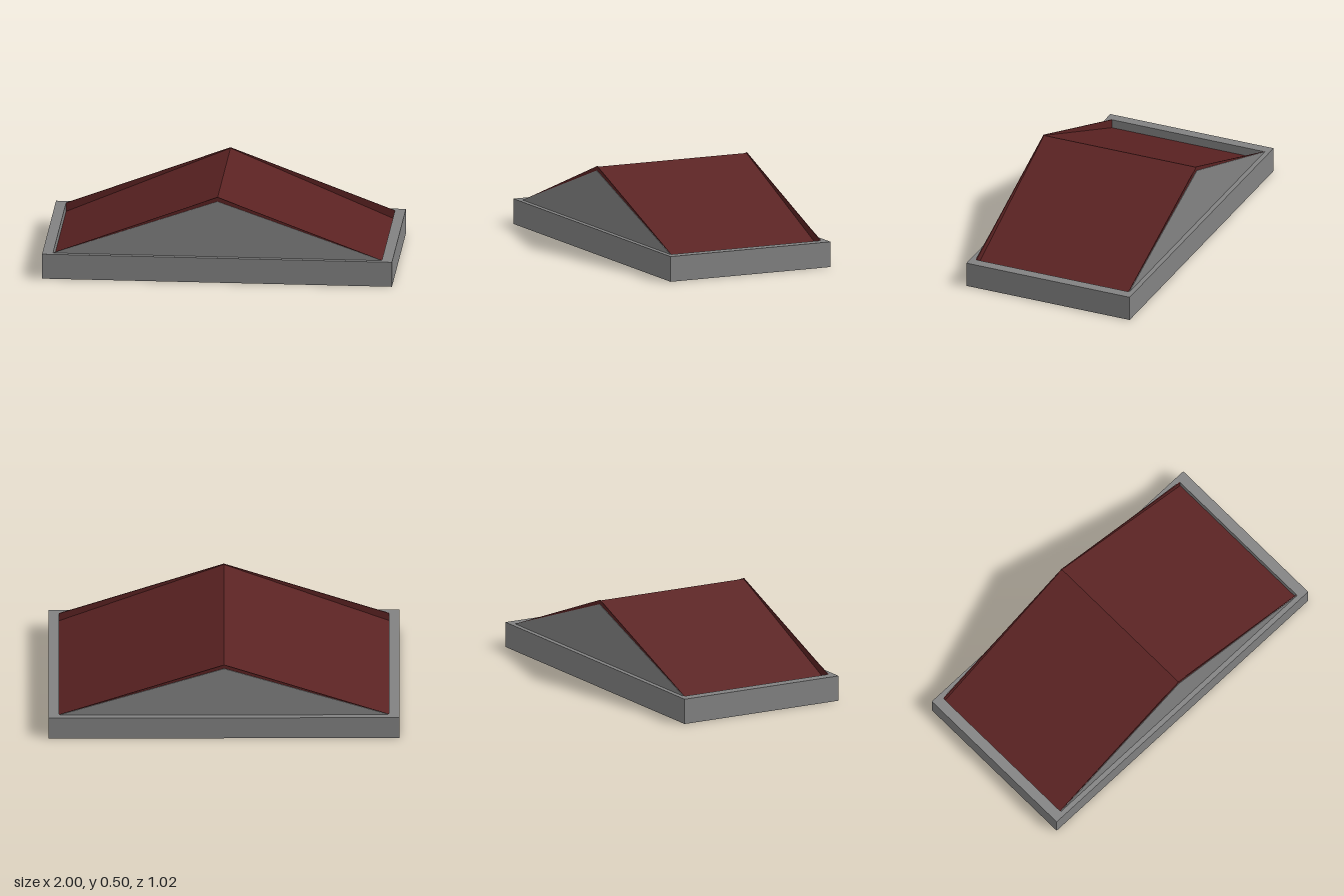
import * as THREE from 'three';

const stone = new THREE.MeshStandardMaterial({ color: 0x828282 });
stone.name = 'stone grey';
const tile = new THREE.MeshStandardMaterial({ color: 0x5a2222 });
tile.name = 'roof red';

const RIM = 0.146, FLOOR = 0.08, INNER_X = 0.94, INNER_Z = 0.482;

function add(group, name, geometry, material) {
  const mesh = new THREE.Mesh(geometry, material);
  mesh.name = name;
  group.add(mesh);
  return mesh;
}

// Gabled prism: a triangle on a low base, extruded along z and centred
function gable(halfWidth, base, eave, ridge, depth) {
  const s = new THREE.Shape();
  s.moveTo(-halfWidth, base);
  s.lineTo(halfWidth, base);
  s.lineTo(halfWidth, eave);
  s.lineTo(0, ridge);
  s.lineTo(-halfWidth, eave);
  s.closePath();
  const g = new THREE.ExtrudeGeometry(s, { depth, bevelEnabled: false });
  return g.translate(0, 0, -depth / 2);
}

export function createModel() {
  const model = new THREE.Group();
  model.name = 'gabledRoof';

  // Tray: rectangular rim with a recessed floor
  const outline = new THREE.Shape();
  outline.moveTo(-1, -0.51).lineTo(1, -0.51).lineTo(1, 0.51).lineTo(-1, 0.51).closePath();
  const hole = new THREE.Path();
  hole.moveTo(-INNER_X, -INNER_Z).lineTo(-INNER_X, INNER_Z).lineTo(INNER_X, INNER_Z).lineTo(INNER_X, -INNER_Z).closePath();
  outline.holes.push(hole);
  const rim = new THREE.ExtrudeGeometry(outline, { depth: RIM, bevelEnabled: false });
  rim.rotateX(-Math.PI / 2);
  add(model, 'rim', rim, stone);
  const floor = new THREE.BoxGeometry(INNER_X * 2, FLOOR, INNER_Z * 2);
  add(model, 'floor', floor.translate(0, FLOOR / 2, 0), stone);

  // Roof slopes, sinking below the rim at the eaves
  add(model, 'roof', gable(INNER_X, FLOOR, 0.095, 0.496, 0.95), tile);

  // Gable ends: red edge plate with a slightly lower grey face outside
  for (const side of [1, -1]) {
    const edge = add(model, 'gableEdge', gable(INNER_X, FLOOR, RIM, 0.5, 0.004), tile);
    edge.position.z = side * 0.476;
    const face = add(model, 'gableFace', gable(INNER_X, FLOOR, RIM, 0.475, 0.003), stone);
    face.position.z = side * 0.4795;
  }
  return model;
}
